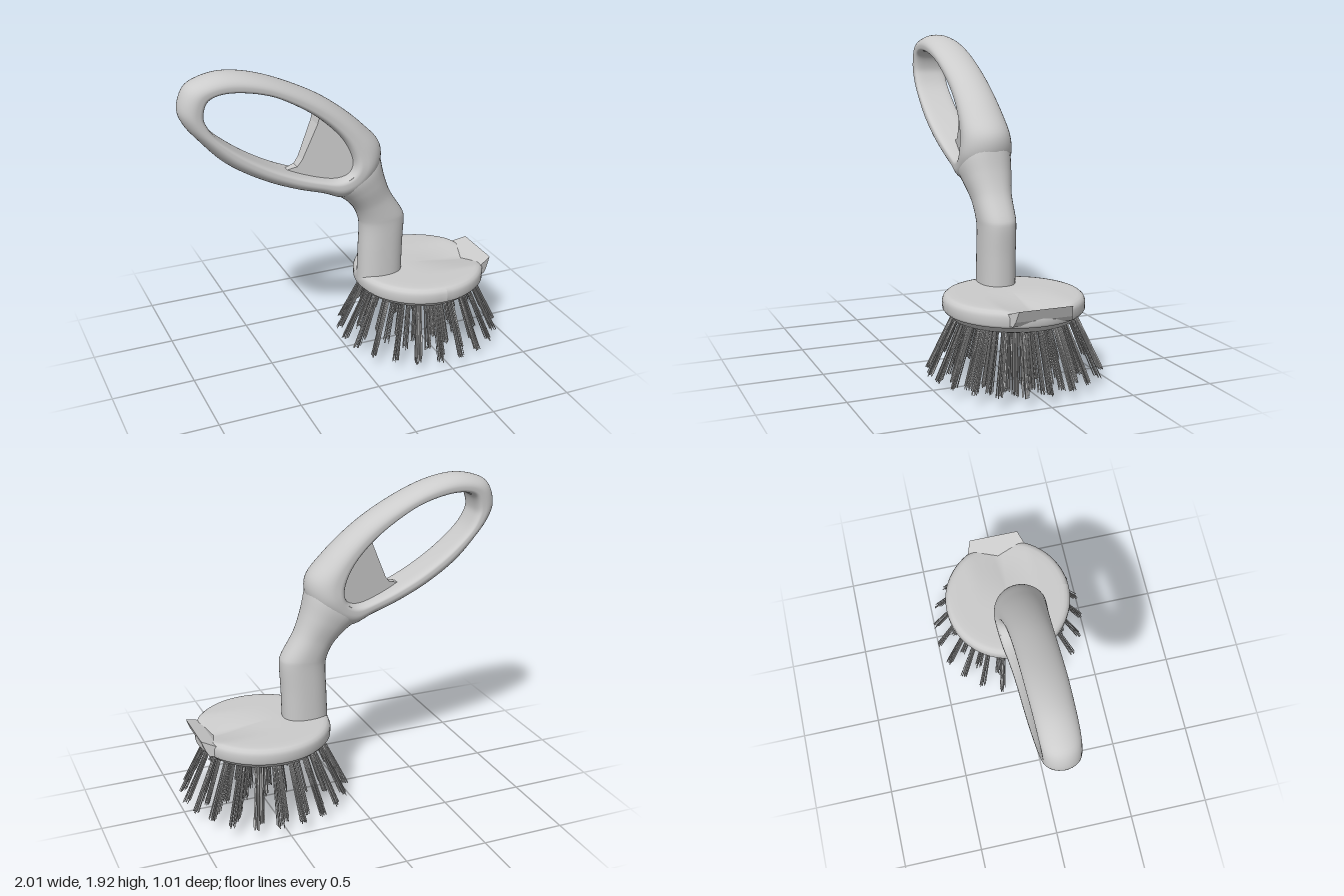
import * as THREE from 'three';
import { mergeGeometries } from 'three/addons/utils/BufferGeometryUtils.js';

const grey = new THREE.MeshStandardMaterial({ color: 0xcccccc });
const greyDouble = new THREE.MeshStandardMaterial({ color: 0xcccccc, side: THREE.DoubleSide });
const HEAD_X = 0.49;

function named(geometry, name, material = grey) {
  const mesh = new THREE.Mesh(geometry, material);
  mesh.name = name;
  return mesh;
}

// Loft of rounded sections. Each row: [ax, ay, bx, by, halfDepth];
// powA and powB set how boxy the section is towards a and towards b,
// widest is where between a (0) and b (1) it has its full depth.
function loft(rows, closed, steps, powA, powB, widest) {
  const sides = 36;
  const type = closed ? 'catmullrom' : 'centripetal';
  const curveA = new THREE.CatmullRomCurve3(rows.map(r => new THREE.Vector3(r[0], r[1], 0)), closed, type, 0.5);
  const curveB = new THREE.CatmullRomCurve3(rows.map(r => new THREE.Vector3(r[2], r[3], r[4])), closed, type, 0.5);
  const rings = closed ? steps : steps + 1;
  const pos = [], index = [];
  for (let i = 0; i < rings; i++) {
    const a = curveA.getPoint(i / steps), b = curveB.getPoint(i / steps);
    for (let j = 0; j < sides; j++) {
      const t = (j / sides) * Math.PI * 2, c = Math.cos(t), s = Math.sin(t);
      const p = 2 / (c < 0 ? powA : powB);
      const u = widest + Math.sign(c) * Math.abs(c) ** p * (c < 0 ? widest : 1 - widest);
      const w = Math.sign(s) * Math.abs(s) ** p;
      pos.push(a.x + (b.x - a.x) * u, a.y + (b.y - a.y) * u, w * b.z);
    }
  }
  for (let i = 0; i < steps; i++) {
    const i2 = (i + 1) % rings;
    for (let j = 0; j < sides; j++) {
      const j2 = (j + 1) % sides;
      const p = i * sides + j, q = i * sides + j2, r = i2 * sides + j, v = i2 * sides + j2;
      index.push(p, q, r, q, v, r);
    }
  }
  const g = new THREE.BufferGeometry();
  g.setAttribute('position', new THREE.Float32BufferAttribute(pos, 3));
  g.setIndex(index);
  g.computeVertexNormals();
  return g;
}

// Extrude a side profile, then set each corner's z from a half-width rule
function wedge(points, halfWidth) {
  const shape = new THREE.Shape(points.map(p => new THREE.Vector2(...p)));
  const g = new THREE.ExtrudeGeometry(shape, { depth: 1, bevelEnabled: false });
  const p = g.attributes.position;
  for (let i = 0; i < p.count; i++) {
    p.setZ(i, (p.getZ(i) > 0.5 ? 1 : -1) * halfWidth(p.getX(i)));
  }
  g.computeVertexNormals();
  return g;
}

// Round head plate, its top dished into a shallow valley towards the scraper
function headGeometry() {
  const profile = [[0, 0.37], [0.3, 0.375], [0.355, 0.395], [0.375, 0.425], [0.395, 0.43], [0.407, 0.445],
    [0.408, 0.49], [0.4, 0.51], [0.385, 0.522], [0.365, 0.526]];
  for (let r = 0.33; r > 0.02; r -= 0.04) profile.push([r, 0.527]);
  profile.push([0, 0.527]);
  const g = new THREE.LatheGeometry(profile.map(p => new THREE.Vector2(...p)), 64);
  const p = g.attributes.position;
  for (let i = 0; i < p.count; i++) {
    if (p.getY(i) < 0.5) continue;
    const along = THREE.MathUtils.smoothstep(p.getX(i), -0.1, 0.33);
    const across = Math.max(0, 1 - Math.abs(p.getZ(i)) / 0.2);
    p.setY(i, p.getY(i) - 0.045 * along * across);
  }
  g.computeVertexNormals();
  return g.translate(HEAD_X, 0, 0.003);
}

// Tufts in rings, each a bundle of thin bristles splayed outwards
function bristleGeometry() {
  let seed = 7;
  const rand = () => (seed = (seed * 16807) % 2147483647) / 2147483647;
  const up = new THREE.Vector3(0, 1, 0), parts = [];
  for (const [radius, count] of [[0.345, 22], [0.26, 16], [0.175, 11], [0.09, 6], [0, 1]]) {
    for (let k = 0; k < count; k++) {
      const angle = (k / count) * Math.PI * 2;
      const dir = new THREE.Vector3(Math.cos(angle), 0, Math.sin(angle));
      const reach = radius * 1.44, drop = 0.014 + 0.06 * (radius / 0.345) ** 3;
      for (let n = 0; n < 18; n++) {
        const turn = rand() * Math.PI * 2, off = Math.sqrt(rand());
        const jitter = new THREE.Vector3(Math.cos(turn) * off, 0, Math.sin(turn) * off);
        const top = dir.clone().multiplyScalar(radius).addScaledVector(jitter, 0.014).setY(0.4);
        const tip = dir.clone().multiplyScalar(reach).addScaledVector(jitter, 0.022).setY(drop);
        const axis = top.clone().sub(tip);
        tip.addScaledVector(axis, (rand() - 0.2) * 0.07);
        const length = top.distanceTo(tip);
        const g = new THREE.CylinderGeometry(0.0028, 0.0028, length, 3, 1, true);
        g.applyQuaternion(new THREE.Quaternion().setFromUnitVectors(up, axis.normalize()));
        const mid = top.add(tip).multiplyScalar(0.5);
        parts.push(g.translate(mid.x + HEAD_X, mid.y, mid.z));
      }
    }
  }
  return mergeGeometries(parts);
}

export function createModel() {
  const model = new THREE.Group();
  model.name = 'scrubbingBrush';

  // Looped grip, domed outside and flatter inside: inner edge, outer edge, half depth
  const grip = [
    [-0.87, 1.72, -1, 1.75, 0.104], [-0.845, 1.79, -0.96, 1.86, 0.107], [-0.78, 1.82, -0.87, 1.91, 0.11],
    [-0.68, 1.82, -0.74, 1.93, 0.112], [-0.55, 1.795, -0.58, 1.905, 0.115], [-0.43, 1.75, -0.4, 1.84, 0.116],
    [-0.27, 1.655, -0.2, 1.74, 0.118], [-0.15, 1.56, -0.04, 1.63, 0.124], [-0.06, 1.46, 0.1, 1.505, 0.135],
    [-0.01, 1.36, 0.2, 1.385, 0.148], [0, 1.29, 0.19, 1.25, 0.157], [-0.03, 1.24, 0.09, 1.13, 0.152],
    [-0.1, 1.22, -0.04, 1.075, 0.142], [-0.2, 1.235, -0.17, 1.122, 0.128], [-0.34, 1.28, -0.35, 1.18, 0.118],
    [-0.5, 1.355, -0.55, 1.27, 0.115], [-0.66, 1.455, -0.75, 1.4, 0.112], [-0.8, 1.57, -0.9, 1.56, 0.108],
    [-0.86, 1.66, -0.975, 1.66, 0.105],
  ];
  model.add(named(loft(grip, true, 114, 4, 1.95, 0.38), 'loopGrip'));

  // Neck from the head up into the grip
  const neck = [
    [0.36, 0.48, 0.08, 0.48, 0.107], [0.365, 0.7, 0.087, 0.68, 0.106], [0.372, 0.88, 0.092, 0.84, 0.106],
    [0.365, 0.91, 0.085, 0.89, 0.108], [0.275, 1.06, 0.05, 0.97, 0.115], [0.23, 1.18, -0.03, 1.055, 0.138],
    [0.205, 1.29, -0.1, 1.098, 0.15], [0.19, 1.37, -0.17, 1.127, 0.142],
  ];
  model.add(named(loft(neck, false, 56, 2.3, 2.3, 0.5), 'neck'));

  // Web filling the lower corner of the grip opening, thin at its free edge
  const webOutline = [[-0.19, 1.6], [-0.2, 1.56], [-0.29, 1.35], [-0.32, 1.31], [-0.4, 1.29], [-0.35, 1.25],
    [-0.2, 1.2], [-0.05, 1.2], [0.03, 1.27], [0.03, 1.36], [-0.05, 1.5]];
  model.add(named(wedge(webOutline, x => THREE.MathUtils.mapLinear(x, -0.4, 0.03, 0.015, 0.1)), 'gripWeb'));

  // Head with its raised scraper lip
  model.add(named(headGeometry(), 'head'));
  const lip = [[0.78, 0.47], [0.83, 0.505], [0.92, 0.54], [0.895, 0.475], [0.875, 0.445], [0.8, 0.44]];
  model.add(named(wedge(lip, x => THREE.MathUtils.mapLinear(x, 0.78, 0.92, 0.215, 0.16)), 'scraperLip'));

  model.add(named(bristleGeometry(), 'bristles', greyDouble));
  return model;
}
